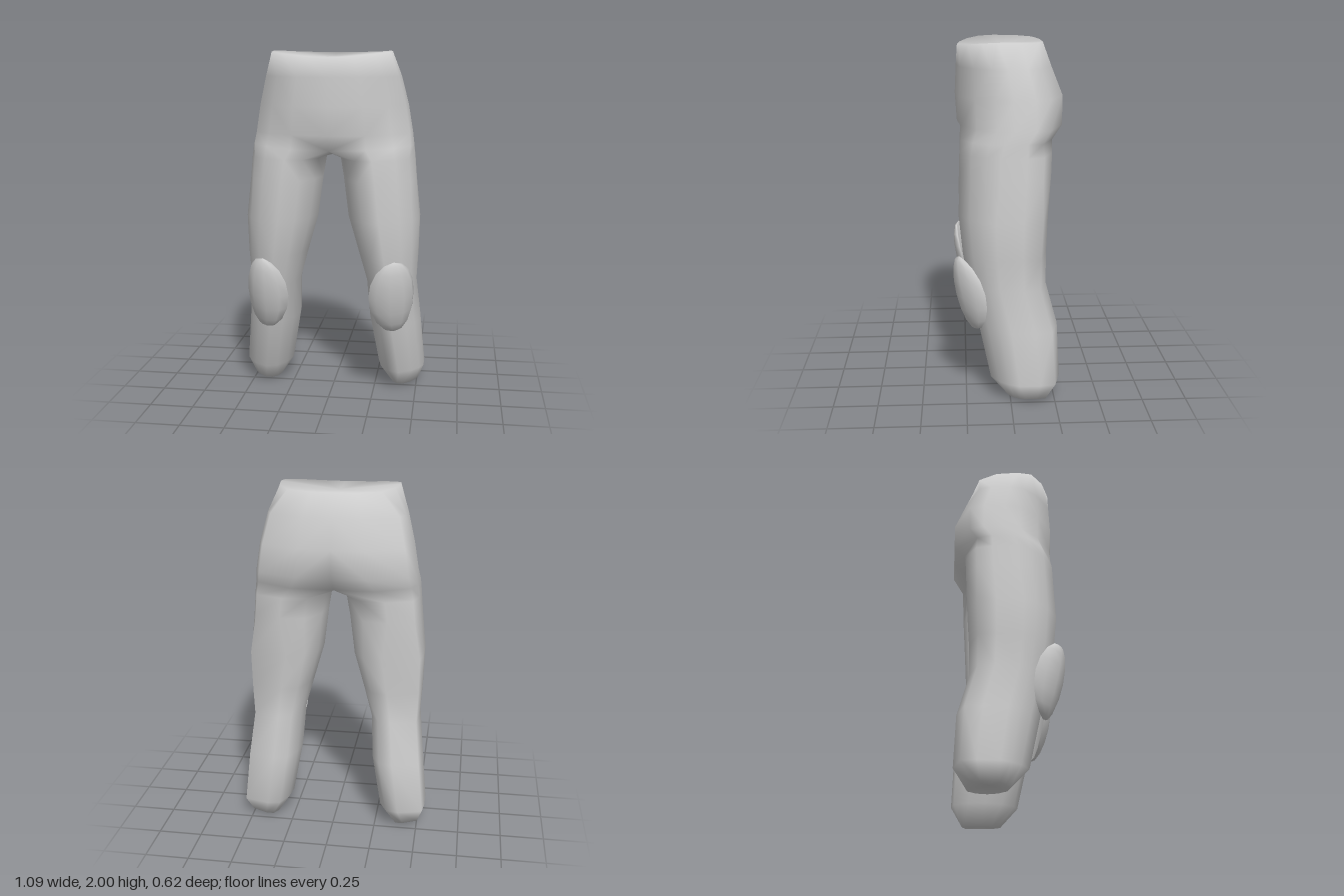
import * as THREE from 'three';
import { mergeVertices } from 'three/addons/utils/BufferGeometryUtils.js';

// half outlines, front centre -> outside -> back centre, as fractions of the half width and depth
const WAIST_SECTION = [
  [0, 1], [0.4, 0.95], [0.75, 0.75], [0.98, 0.45], [1, 0.1],
  [0.94, -0.43], [0.76, -0.86], [0.36, -1], [0, -1],
];
const HIP_SECTION = [
  [0, 1], [0.45, 0.92], [0.76, 0.63], [0.97, 0.27], [1, -0.05],
  [0.98, -0.45], [0.91, -0.72], [0.42, -1], [0, -1],
];
const CROTCH_SECTION = [
  [0, 0.82], [0.45, 0.96], [0.77, 0.7], [0.96, 0.36], [1, 0.05],
  [0.985, -0.43], [0.92, -0.75], [0.5, -1], [0, -0.85],
];
// leg outlines, inner front -> outside -> inner back -> inside
const THIGH_SECTION = [
  [-0.5, 0.9], [-0.05, 1], [0.52, 0.76], [0.86, 0.44], [1, 0.14], [0.98, -0.42],
  [0.85, -0.78], [0.15, -1], [-0.5, -0.92], [-0.9, -0.5], [-1, 0], [-0.85, 0.5],
];
const SHIN_SECTION = [
  [-0.5, 0.88], [-0.05, 1], [0.5, 0.76], [0.82, 0.48], [1, 0.2], [1, -0.4],
  [0.92, -0.82], [-0.1, -1], [-0.62, -0.92], [-0.92, -0.5], [-1, 0], [-0.85, 0.5],
];
// hips: section, y, half width, back z, front z
const HIPS = [
  [WAIST_SECTION, 2.0, 0.34, -0.195, 0.28],
  [HIP_SECTION, 1.86, 0.39, -0.24, 0.288],
  [HIP_SECTION, 1.7, 0.43, -0.303, 0.296],
  [HIP_SECTION, 1.54, 0.457, -0.3, 0.286],
  [CROTCH_SECTION, 1.45, 0.468, -0.24, 0.278],
];
// leg: section, y, inner x, outer x, back z, front z
const LEG = [
  [THIGH_SECTION, 1.4, 0.04, 0.474, -0.237, 0.272],
  [THIGH_SECTION, 1.28, 0.06, 0.484, -0.232, 0.275],
  [SHIN_SECTION, 1.05, 0.09, 0.505, -0.22, 0.283],
  [SHIN_SECTION, 0.84, 0.15, 0.5, -0.208, 0.262],
  [SHIN_SECTION, 0.66, 0.2, 0.49, -0.205, 0.232],
  [SHIN_SECTION, 0.42, 0.215, 0.515, -0.27, 0.175],
  [SHIN_SECTION, 0.12, 0.268, 0.544, -0.282, 0.11],
  [SHIN_SECTION, 0.012, 0.345, 0.508, -0.215, 0.01],
];

const place = (section, y, x0, x1, z0, z1) => section.map(([u, v]) =>
  [(x0 + x1) / 2 + u * (x1 - x0) / 2, y, (z0 + z1) / 2 + v * (z1 - z0) / 2]);

// rings of the left half, from the waist down
function makeRings() {
  const hips = HIPS.map(([section, y, w, zb, zf]) => place(section, y, -w, w, zb, zf));
  // waist dips at front and back
  for (const p of hips[0]) p[1] -= 0.03 * Math.abs(p[2] / 0.28) ** 3;
  // crotch rises towards the outside, with a saddle on the centre line
  const crotch = hips[hips.length - 1];
  for (const p of crotch) p[1] += 0.05 * p[0];
  crotch.push([0, 1.425, -0.1], [0, 1.41, 0.01], [0, 1.425, 0.12]);
  const legs = LEG.map(([section, y, x0, x1, zb, zf]) => place(section, y, x0, x1, zb, zf));
  // hem is lowest on the inside
  for (const p of legs[legs.length - 1]) p[1] += (p[0] - 0.425) * 0.14;
  return [...hips, ...legs];
}

const mirror = ([a, b, c]) => [a, c, b].map(([x, y, z]) => [-x, y, z]);

function trousersGeometry() {
  const rings = makeRings();
  const tris = [];
  for (let i = 0; i + 1 < rings.length; i++) {
    const up = rings[i], down = rings[i + 1];
    const n = i < HIPS.length - 1 ? 8 : 12;
    for (let k = 0; k < n; k++) {
      const j = (k + 1) % 12;
      tris.push([up[k], down[k], up[j]], [up[j], down[k], down[j]]);
    }
  }
  // slightly hollow waist and leg ends
  const waist = rings[0], hem = rings[rings.length - 1];
  for (let k = 0; k < 8; k++) tris.push([[0, 1.965, 0.04], waist[k], waist[k + 1]]);
  hem.forEach((p, k) => tris.push([[0.425, 0.025, -0.1], hem[(k + 1) % 12], p]));

  const shell = new THREE.BufferGeometry();
  const positions = [...tris, ...tris.map(mirror)].flat(2);
  shell.setAttribute('position', new THREE.Float32BufferAttribute(positions, 3));
  const smooth = mergeVertices(shell, 1e-4);
  smooth.computeVertexNormals();
  return smooth;
}

// oval dome bent around the knee
function kneePadGeometry() {
  const g = new THREE.SphereGeometry(1, 10, 8);
  const p = g.attributes.position;
  for (let i = 0; i < p.count; i++) {
    const x = p.getX(i), z = p.getZ(i);
    p.setXYZ(i, x * 0.14, p.getY(i) * 0.222, z * (z > 0 ? 0.06 : 0.01) - 0.04 * x * x);
  }
  g.computeVertexNormals();
  return g;
}

export function createModel() {
  const group = new THREE.Group();
  const cloth = new THREE.MeshStandardMaterial({ color: 0xcccccc });
  cloth.name = 'light grey';
  const add = (name, geometry) => {
    const mesh = new THREE.Mesh(geometry, cloth);
    mesh.name = name;
    group.add(mesh);
    return mesh;
  };
  add('trousers', trousersGeometry());

  // knee pads face outwards and lean forward at the top
  const padGeometry = kneePadGeometry();
  for (const side of [1, -1]) {
    const pad = add(side > 0 ? 'leftKneePad' : 'rightKneePad', padGeometry);
    pad.position.set(0.375 * side, 0.62, 0.235);
    pad.rotation.set(0.22, 0.45 * side, 0);
  }
  return group;
}
